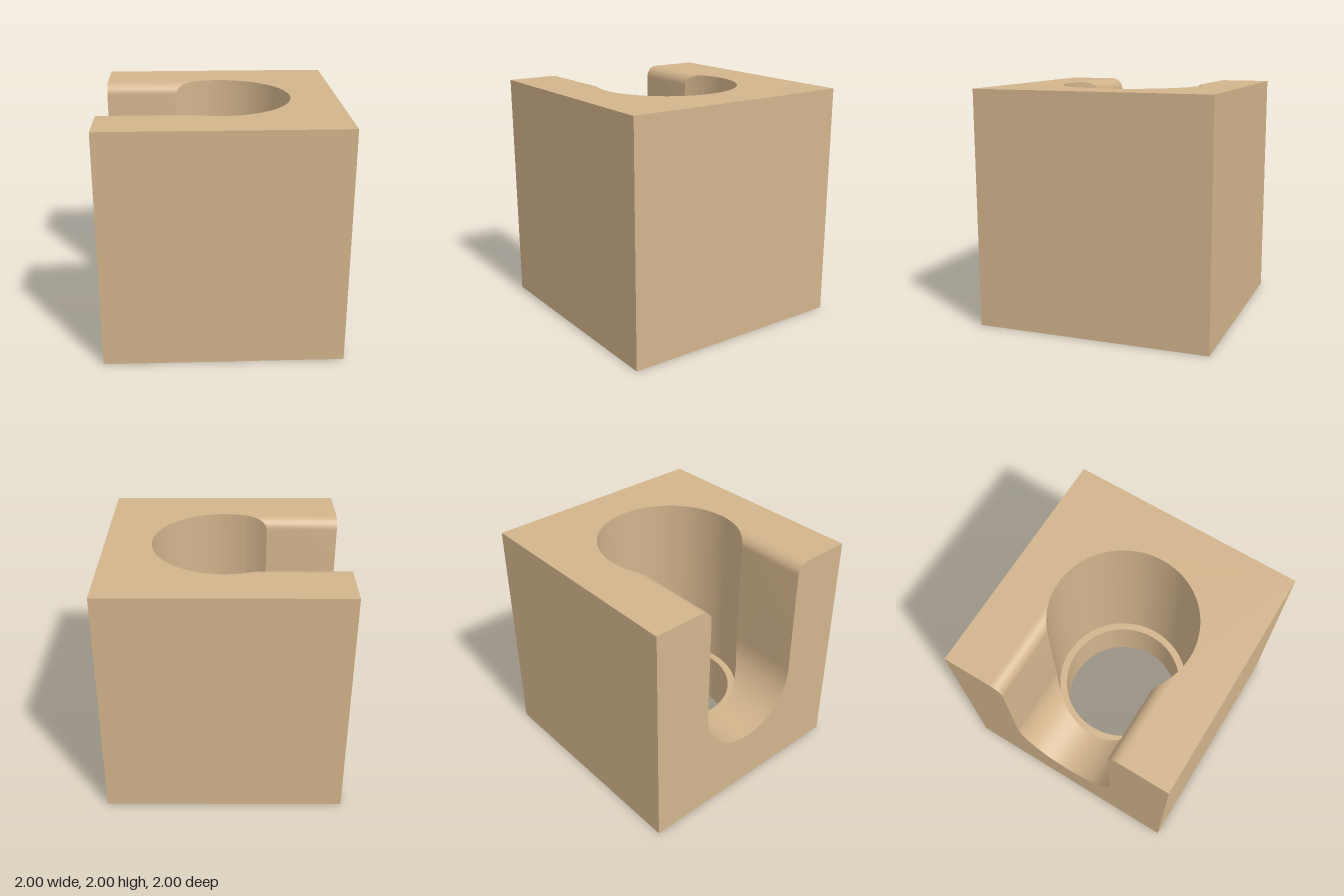
import * as THREE from 'three';
import { toCreasedNormals } from 'three/addons/utils/BufferGeometryUtils.js';

const LEDGE = 0.48, TOP = 2;          // height of the inner ledge and of the block
const BORE = 0.605, HOLE = 0.54;      // upper bore and lower through hole radii
const SLOT = 0.475, FILLET = 0.1;     // slot half width and rounding of its top edges
const SLOT_Y = 0.96;                  // centre height of the slot's round bottom
const RIM = SLOT + FILLET;

// Extrude a plan outline upward from y0 to y1
function slab(shape, y0, y1) {
  const g = new THREE.ExtrudeGeometry(shape, { depth: y1 - y0, bevelEnabled: false, curveSegments: 48 });
  g.rotateX(-Math.PI / 2).translate(0, y0, 0);
  return toCreasedNormals(g, 0.5);
}

// Square base with the through hole
function baseGeometry() {
  const s = new THREE.Shape([[-1, -1], [1, -1], [1, 1], [-1, 1]].map(p => new THREE.Vector2(...p)));
  s.holes.push(new THREE.Path().absarc(0, 0, HOLE, 0, Math.PI * 2, true));
  return slab(s, 0, LEDGE);
}

// C-shaped wall around the bore, open toward -x
function wallGeometry() {
  const a = Math.PI - Math.asin(RIM / BORE);
  const s = new THREE.Shape();
  s.moveTo(-1, -RIM).lineTo(-1, -1).lineTo(1, -1).lineTo(1, 1).lineTo(-1, 1).lineTo(-1, RIM);
  s.absarc(0, 0, BORE, a, -a, true);
  s.closePath();
  return slab(s, LEDGE, TOP);
}

// Slot: a rounded U profile swept from the outer face to the bore
function slotGeometry() {
  const half = [];                    // profile from the slot's bottom to its rim, as [z, y]
  for (let i = 0; i <= 20; i++) {
    const t = (i / 20) * Math.PI / 2;
    half.push([SLOT * Math.sin(t), SLOT_Y - SLOT * Math.cos(t)]);
  }
  for (let i = 0; i <= 8; i++) {
    const t = (i / 8) * Math.PI / 2;
    half.push([RIM - FILLET * Math.cos(t), TOP - FILLET + FILLET * Math.sin(t)]);
  }
  const profile = [...half.slice(1).reverse().map(([z, y]) => [-z, y]), ...half];
  const pos = [];
  const quad = (a, b, c, d) => pos.push(...a, ...b, ...c, ...a, ...c, ...d);
  const boreX = z => -Math.sqrt(BORE * BORE - z * z);
  for (let i = 0; i < profile.length - 1; i++) {
    const [z0, y0] = profile[i], [z1, y1] = profile[i + 1];
    const x0 = boreX(z0), x1 = boreX(z1);
    quad([-1, y0, z0], [-1, y1, z1], [x1, y1, z1], [x0, y0, z0]);
    if (z1 - z0 < 1e-6) continue;
    quad([-1, LEDGE, z0], [-1, LEDGE, z1], [-1, y1, z1], [-1, y0, z0]);
    quad([x0, LEDGE, z0], [x0, y0, z0], [x1, y1, z1], [x1, LEDGE, z1]);
  }
  const g = new THREE.BufferGeometry();
  g.setAttribute('position', new THREE.Float32BufferAttribute(pos, 3));
  return toCreasedNormals(g, 0.5);
}

export function createModel() {
  const tan = new THREE.MeshStandardMaterial({ color: 0xd2b48c });
  tan.name = 'tan';
  const group = new THREE.Group();
  group.name = 'slottedBlock';
  const parts = { base: baseGeometry(), boreWall: wallGeometry(), slot: slotGeometry() };
  for (const [name, geometry] of Object.entries(parts)) {
    const mesh = new THREE.Mesh(geometry, tan);
    mesh.name = name;
    group.add(mesh);
  }
  return group;
}
